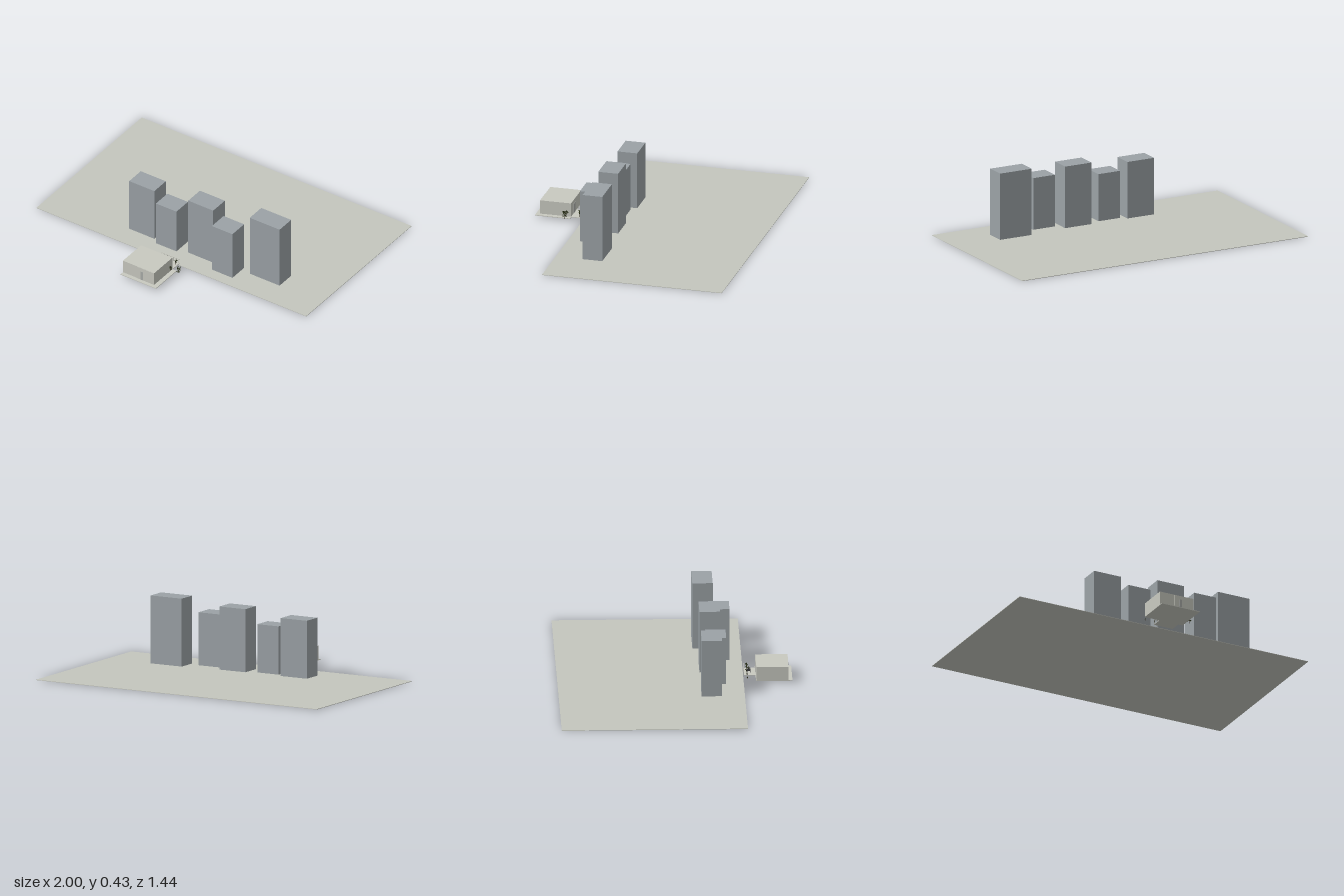
import * as THREE from 'three';

const mat = (name, color, extra = {}) => {
  const m = new THREE.MeshStandardMaterial({ color, ...extra });
  m.name = name;
  return m;
};

export function createModel() {
  const root = new THREE.Group();
  root.name = 'cityTerrace';
  const ground = mat('paleConcrete', 0xc4c6bd);
  const tower = mat('blueGrey', 0x9ba2a6);
  const wall = mat('warmPlaster', 0xc8c9c0);
  const door = mat('doorGrey', 0xa9aba8);
  const leaf = mat('darkLeaf', 0x2c3417, { side: THREE.DoubleSide });
  const bark = mat('bark', 0x2a2018);
  const seat = mat('charcoal', 0x3a3a3e);

  // box given by its extents
  const box = (name, m, x0, x1, y0, y1, z0, z1, parent = root) => {
    const mesh = new THREE.Mesh(new THREE.BoxGeometry(x1 - x0, y1 - y0, z1 - z0), m);
    mesh.position.set((x0 + x1) / 2, (y0 + y1) / 2, (z0 + z1) / 2);
    mesh.name = name;
    parent.add(mesh);
    return mesh;
  };

  box('groundSlab', ground, -1, 1, 0, 0.003, -0.722, 0.418);

  // row of towers: x0, x1, z0, z1, height
  [
    [-0.408, -0.222, 0.153, 0.278, 0.363],
    [-0.188, -0.036, 0.186, 0.31, 0.303],
    [0.03, 0.215, 0.153, 0.279, 0.395],
    [0.25, 0.402, 0.217, 0.344, 0.332],
    [0.465, 0.686, 0.123, 0.248, 0.425],
  ].forEach(([x0, x1, z0, z1, h]) => box('tower', tower, x0, x1, 0.001, h, z0, z1));

  // house on its deck, with the terrace behind it
  const house = new THREE.Group();
  house.name = 'house';
  root.add(house);
  box('deck', wall, -0.172, 0.09, 0.014, 0.018, 0.493, 0.716, house);
  box('terraceFloor', wall, -0.07, 0.06, 0.014, 0.018, 0.42, 0.493, house);
  box('houseBody', wall, -0.172, 0.06, 0.018, 0.105, 0.495, 0.691, house);
  box('frontPanel', wall, -0.07, 0.06, 0.018, 0.104, 0.691, 0.693, house);
  box('frontDoor', door, -0.04, -0.02, 0.02, 0.08, 0.693, 0.695, house);
  box('backDoor', door, -0.04, 0.0, 0.018, 0.08, 0.493, 0.495, house);

  // terrace railing
  const railing = new THREE.Group();
  railing.name = 'railing';
  root.add(railing);
  box('topRail', wall, -0.07, 0.06, 0.047, 0.05, 0.42, 0.423, railing);
  for (let i = 0; i <= 6; i++) {
    const x = -0.07 + i * 0.0212;
    box('railPost', wall, x, x + 0.0025, 0.018, 0.048, 0.42, 0.423, railing);
  }

  // terrace chair
  const chair = new THREE.Group();
  chair.name = 'chair';
  root.add(chair);
  box('chairSeat', seat, -0.028, -0.008, 0.028, 0.031, 0.443, 0.463, chair);
  box('chairBack', seat, -0.028, -0.025, 0.031, 0.045, 0.443, 0.463, chair);
  for (const x of [-0.028, -0.01]) for (const z of [0.443, 0.461]) {
    box('chairLeg', seat, x, x + 0.002, 0.018, 0.028, z, z + 0.002, chair);
  }

  // plants: thin stem with clusters of loose leaves
  let seed = 7;
  const rnd = () => (seed = (seed * 16807) % 2147483647) / 2147483647;
  const leafGeo = new THREE.CircleGeometry(0.0045, 4);
  const plant = (x, y, z, h, r, count) => {
    const g = new THREE.Group();
    g.name = 'plant';
    g.position.set(x, y, z);
    const stem = new THREE.Mesh(new THREE.CylinderGeometry(0.001, 0.0015, h * 0.9, 5), bark);
    stem.name = 'stem';
    stem.position.y = h * 0.45;
    g.add(stem);
    for (let i = 0; i < count; i++) {
      const l = new THREE.Mesh(leafGeo, leaf);
      const a = rnd() * Math.PI * 2, d = r * Math.sqrt(rnd());
      l.name = 'leaf';
      l.position.set(Math.cos(a) * d, h * (0.3 + 0.7 * rnd()), Math.sin(a) * d);
      l.rotation.set(rnd() * 3, rnd() * 6, rnd() * 3);
      g.add(l);
    }
    root.add(g);
  };
  plant(0.123, 0.024, 0.52, 0.05, 0.011, 40);
  plant(0.066, 0.026, 0.52, 0.028, 0.007, 16);
  plant(0.05, 0.018, 0.442, 0.034, 0.008, 14);
  plant(0.005, 0.018, 0.453, 0.025, 0.007, 14);
  plant(-0.015, 0.018, 0.44, 0.025, 0.006, 8);
  plant(-0.075, 0.02, 0.442, 0.014, 0.003, 4);
  plant(-0.14, 0.02, 0.442, 0.014, 0.003, 4);

  return root;
}
